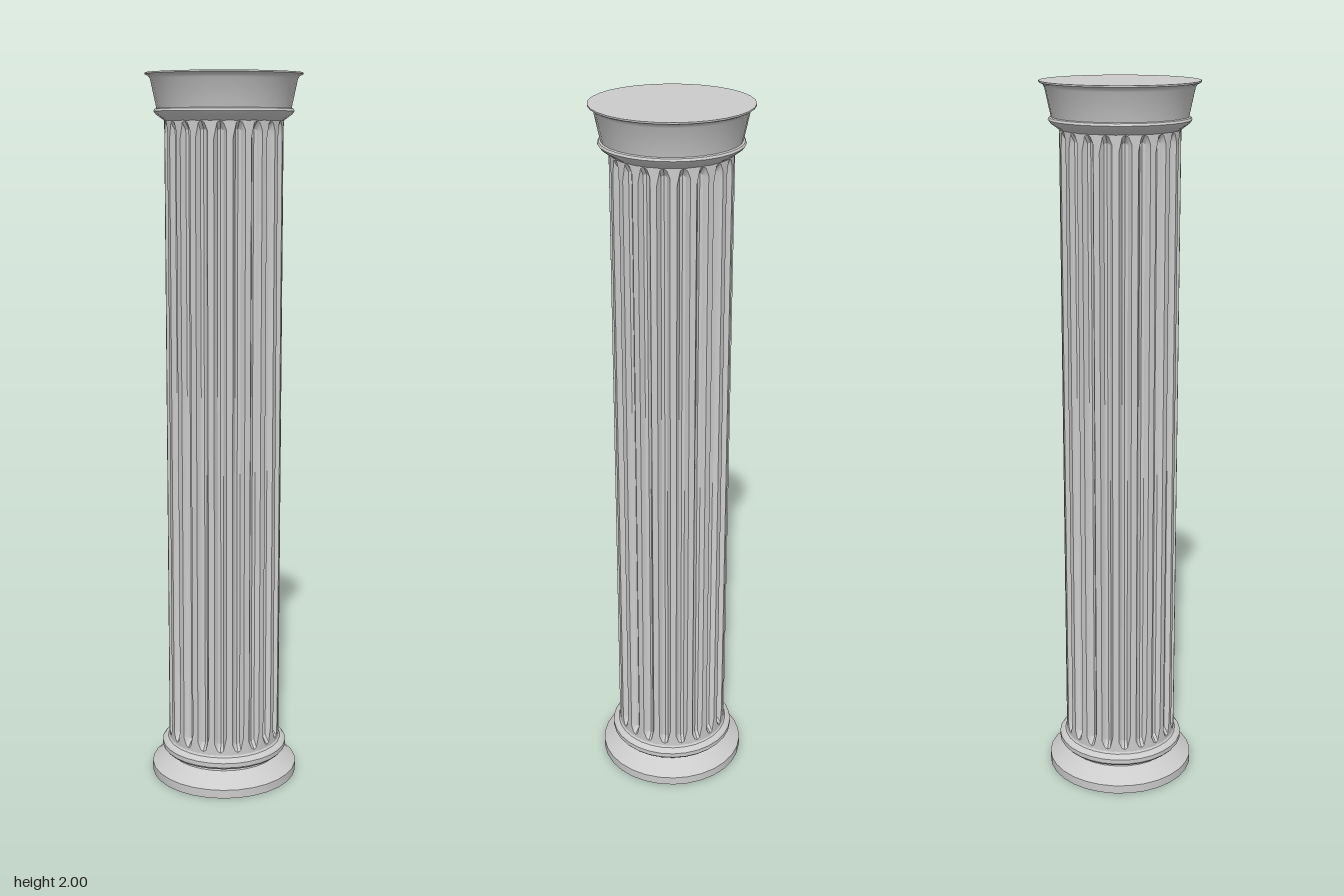
import * as THREE from 'three';
import { toCreasedNormals } from 'three/addons/utils/BufferGeometryUtils.js';

const SIDES = 30, FLUTES = 20, PER_FLUTE = 6;
const material = new THREE.MeshStandardMaterial({ color: 0xcccccc });

function addMesh(group, name, geometry, crease) {
  const mesh = new THREE.Mesh(toCreasedNormals(geometry, crease), material);
  mesh.name = name;
  group.add(mesh);
}

// Turned part from [radius, height] pairs, listed bottom to top
function turned(profile) {
  const points = profile.map(([r, y]) => new THREE.Vector2(r, y));
  return new THREE.LatheGeometry(points, SIDES).rotateY(Math.PI / 2);
}

// Shaft with hollow flutes whose ends taper to narrow tongues
function flutedShaft(radius, bottom, top, depth) {
  const hollow = [0, 0, 0.8, 1, 0.8, 0];
  const columns = FLUTES * PER_FLUTE;
  const geometry = new THREE.CylinderGeometry(radius, radius, 1, columns, 5, true);
  const pos = geometry.attributes.position;
  for (let i = 0; i < pos.count; i++) {
    const column = i % (columns + 1);
    const row = Math.floor(i / (columns + 1));
    const h = hollow[column % PER_FLUTE];
    const endGap = 0.04 - 0.025 * h;
    const heights = [
      top, top - endGap, top - endGap - 0.02,
      bottom + endGap + 0.02, bottom + endGap, bottom,
    ];
    const r = radius - (row === 2 || row === 3 ? depth * h : 0);
    const a = (column / columns) * Math.PI * 2;
    pos.setXYZ(i, Math.sin(a) * r, heights[row], Math.cos(a) * r);
  }
  return geometry;
}

export function createModel() {
  const column = new THREE.Group();
  column.name = 'column';

  // Flared foot, narrow neck and rounded ring
  addMesh(column, 'base', turned([
    [0, 0], [0.211, 0], [0.211, 0.025], [0.197, 0.035], [0.175, 0.05],
    [0.16, 0.06], [0.158, 0.07], [0.175, 0.072], [0.181, 0.079],
    [0.181, 0.092], [0.175, 0.099], [0.165, 0.102], [0.16, 0.11], [0, 0.11],
  ]), 0.6);

  addMesh(column, 'shaft', flutedShaft(0.161, 0.1, 1.89, 0.016), 0.5);

  // Spreading ring, tapered drum and thin top lip
  addMesh(column, 'capital', turned([
    [0, 1.875], [0.161, 1.875], [0.172, 1.883], [0.184, 1.892], [0.19, 1.9],
    [0.187, 1.906], [0.182, 1.908], [0.198, 1.983], [0.203, 1.991],
    [0.213, 1.996], [0.213, 2], [0, 2],
  ]), 0.6);

  return column;
}
